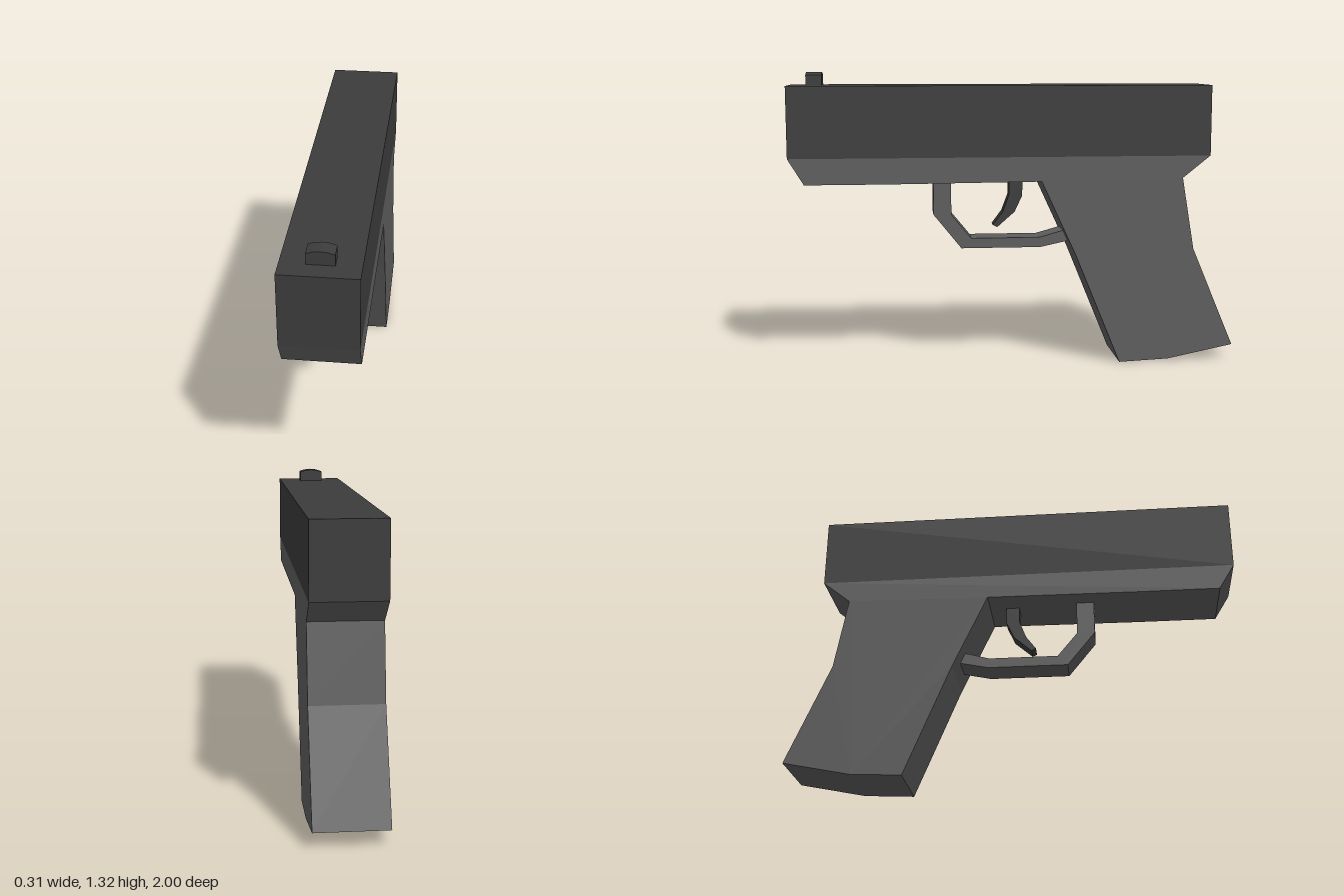
import * as THREE from 'three';

const dark = new THREE.MeshStandardMaterial({ color: 0x3c3c3c, flatShading: true });
const grey = new THREE.MeshStandardMaterial({ color: 0x5e5e5e, flatShading: true });

const outline = (points) => new THREE.Shape(points.map(([a, b]) => new THREE.Vector2(a, b)));

// Extrude an outline by a depth centred on its plane
function slab(points, depth) {
  return new THREE.ExtrudeGeometry(outline(points), { depth, bevelEnabled: false })
    .translate(0, 0, -depth / 2);
}

// Part from a side outline given as [z, y], with its width across x
function sidePart(name, points, width, material) {
  const mesh = new THREE.Mesh(slab(points, width).rotateY(-Math.PI / 2), material);
  mesh.name = name;
  return mesh;
}

export function createModel() {
  const group = new THREE.Group();
  group.name = 'pistol';

  // Upper slide block
  group.add(sidePart('slide', [
    [1, 0.95], [1, 1.265], [-0.88, 1.265], [-0.88, 0.95],
  ], 0.31, dark));

  // Lower frame and raked grip in one outline
  group.add(sidePart('frameAndGrip', [
    [1, 0.95], [0.93, 0.835], [0.57, 0.835], [-0.115, 0.84], [-0.27, 0.505],
    [-0.475, 0.005], [-0.7, 0.015], [-1, 0.075], [-0.81, 0.525],
    [-0.755, 0.85], [-0.88, 0.95],
  ], 0.31, grey));

  // Angular loop below the frame, ending inside the grip
  group.add(sidePart('triggerGuard', [
    [0.365, 0.84], [0.365, 0.685], [0.24, 0.53], [-0.12, 0.53], [-0.26, 0.56],
    [-0.26, 0.615], [-0.115, 0.575], [0.195, 0.575], [0.285, 0.685], [0.285, 0.84],
  ], 0.13, grey));

  // Hooked trigger
  group.add(sidePart('trigger', [
    [0.02, 0.84], [0.02, 0.77], [0.05, 0.69], [0.095, 0.63], [0.075, 0.62],
    [-0.005, 0.69], [-0.04, 0.765], [-0.04, 0.84],
  ], 0.07, dark));

  // Front sight with a slightly arched top, outline in [x, y]
  const sight = new THREE.Mesh(slab([
    [-0.055, 1.26], [0.055, 1.26], [0.055, 1.311], [0.028, 1.319],
    [0, 1.322], [-0.028, 1.319], [-0.055, 1.311],
  ], 0.07).translate(0, 0, 0.885), dark);
  sight.name = 'frontSight';
  group.add(sight);

  return group;
}
